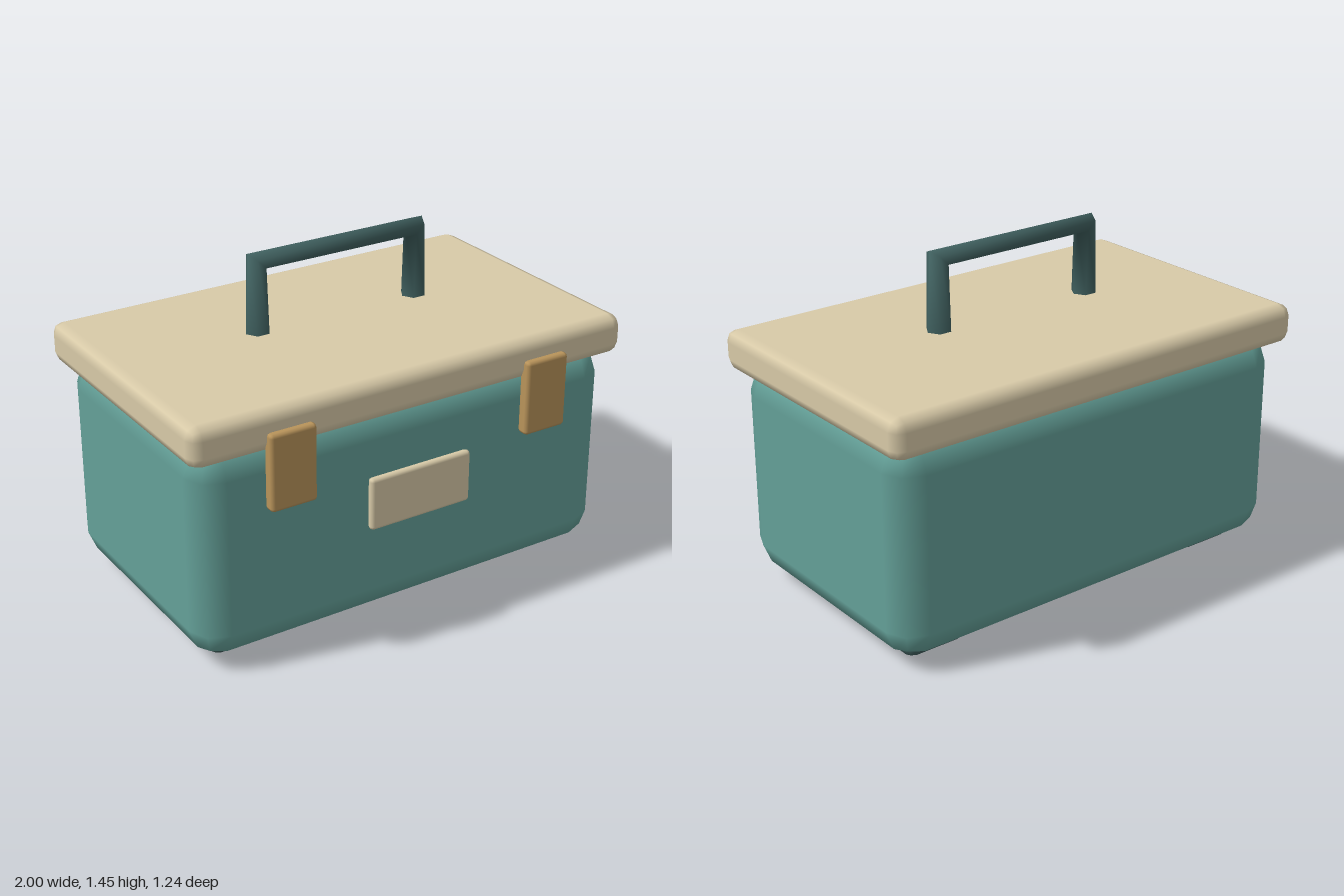
import * as THREE from 'three';
import { RoundedBoxGeometry } from 'three/addons/geometries/RoundedBoxGeometry.js';

const material = (color) => new THREE.MeshStandardMaterial({ color });

// Rounded box given by its min and max on each axis
function roundedBox(name, [x0, x1], [y0, y1], [z0, z1], radius, mat) {
  const mesh = new THREE.Mesh(new RoundedBoxGeometry(x1 - x0, y1 - y0, z1 - z0, 1, radius), mat);
  mesh.position.set((x0 + x1) / 2, (y0 + y1) / 2, (z0 + z1) / 2);
  mesh.name = name;
  return mesh;
}

// Six-sided bar swept along a square arch, with mitred corners and closed ends
function handleGeometry(halfWidth, bottom, top, radius) {
  const sides = 6;
  const s = Math.SQRT1_2;
  // centre x, centre y and the in-plane direction of each ring
  const rings = [
    [-halfWidth, bottom, -1, 0],
    [-halfWidth, top, -s, s],
    [halfWidth, top, s, s],
    [halfWidth, bottom, 1, 0],
  ];
  const positions = [];
  const index = [];
  const addRing = ([cx, cy, dx, dy]) => {
    for (let i = 0; i < sides; i++) {
      const a = (i / sides) * Math.PI * 2;
      const c = Math.cos(a) * radius;
      positions.push(cx + dx * c, cy + dy * c, Math.sin(a) * radius);
    }
  };
  rings.forEach(addRing);
  for (let r = 0; r < rings.length - 1; r++) {
    for (let i = 0; i < sides; i++) {
      const a = r * sides + i;
      const b = r * sides + ((i + 1) % sides);
      index.push(a, b, a + sides, b, b + sides, a + sides);
    }
  }
  // end caps, on their own vertices so the edges stay sharp
  [rings[0], rings[3]].forEach((ring, end) => {
    const start = positions.length / 3;
    addRing(ring);
    for (let i = 1; i < sides - 1; i++) {
      if (end === 0) index.push(start, start + i + 1, start + i);
      else index.push(start, start + i, start + i + 1);
    }
  });
  const geometry = new THREE.BufferGeometry();
  geometry.setAttribute('position', new THREE.Float32BufferAttribute(positions, 3));
  geometry.setIndex(index);
  geometry.computeVertexNormals();
  return geometry;
}

export function createModel() {
  const group = new THREE.Group();
  group.name = 'toolbox';
  const teal = material(0x64a098);
  const cream = material(0xd8caa8);
  const brass = material(0xb8935a);
  const dark = material(0x3f5f5e);

  // Box and overhanging lid
  group.add(roundedBox('body', [-0.96, 0.96], [0.05, 0.95], [-0.58, 0.555], 0.12, teal));
  group.add(roundedBox('lid', [-1, 1], [0.92, 1.09], [-0.62, 0.59], 0.05, cream));

  // Name plate on the front
  group.add(roundedBox('frontPlate', [-0.235, 0.235], [0.46, 0.685], [0.565, 0.6], 0.015, cream));

  // Paired latches and foot rails
  for (const side of [-1, 1]) {
    const label = side > 0 ? 'left' : 'right';
    const span = (a, b) => (side > 0 ? [a, b] : [-b, -a]);
    group.add(roundedBox(label + 'Latch', span(0.49, 0.69), [0.685, 1.005], [0.565, 0.62], 0.015, brass));
    group.add(roundedBox(label + 'Foot', span(0.58, 0.855), [0, 0.09], [-0.46, 0.43], 0.04, dark));
  }

  // Carrying handle
  const handle = new THREE.Mesh(handleGeometry(0.372, 1.115, 1.41, 0.053), dark);
  handle.position.z = -0.015;
  handle.name = 'handle';
  group.add(handle);

  return group;
}
